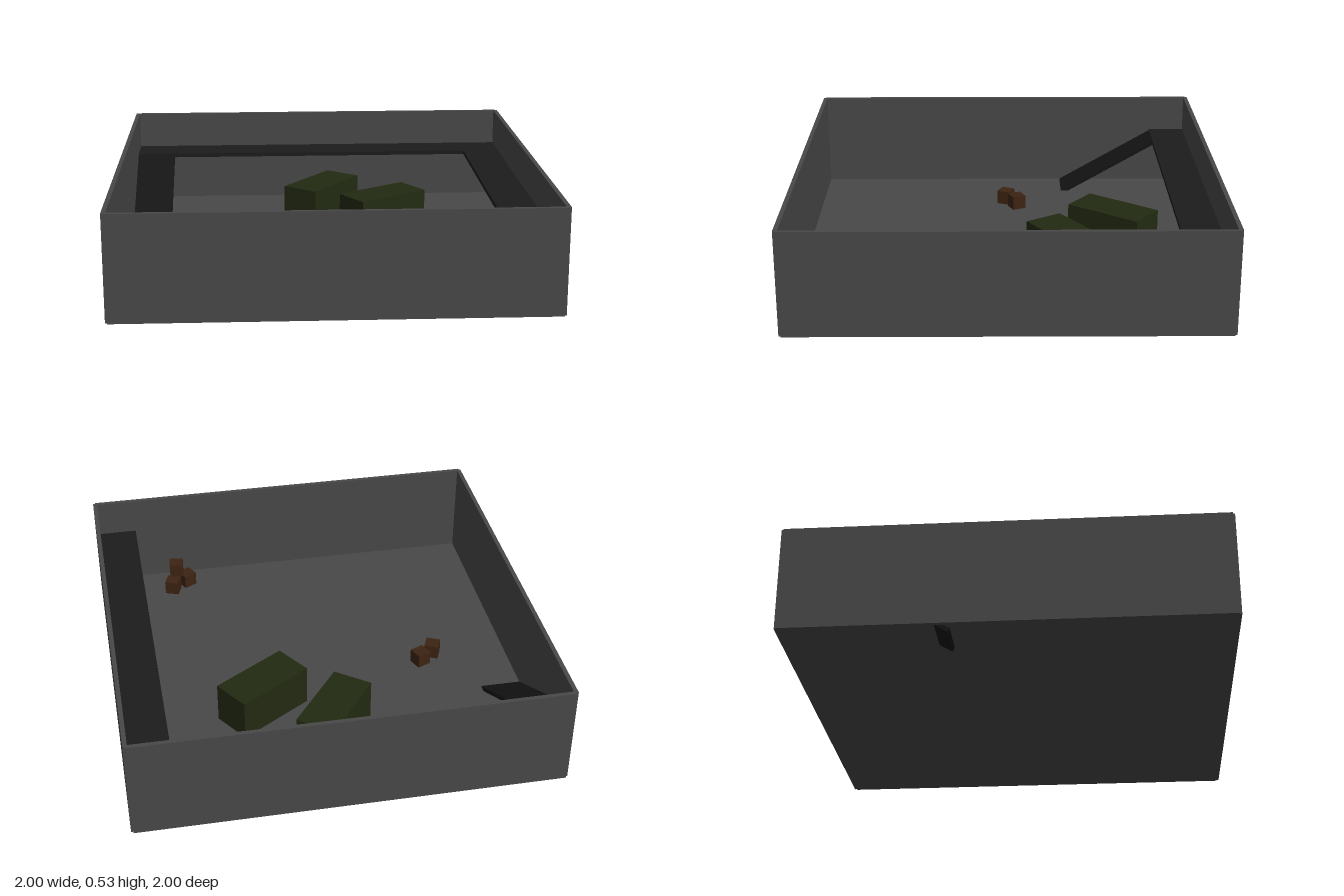
import * as THREE from 'three';

const mat = (color) => new THREE.MeshStandardMaterial({ color });

export function createModel() {
  const root = new THREE.Group();
  root.name = 'arena';
  const wallMat = mat(0x484848), ledgeMat = mat(0x1c1c1c), rampMat = mat(0x151515);
  const greenMat = mat(0x222a12), crateMat = mat(0x3d2412);

  const box = (name, material, [w, h, d], [x, y, z], turn = 0) => {
    const m = new THREE.Mesh(new THREE.BoxGeometry(w, h, d), material);
    m.name = name;
    m.position.set(x, y, z);
    m.rotation.y = turn;
    root.add(m);
    return m;
  };

  // Floor slab and four thin walls, with small notches at the outer corners
  const base = 0.033, top = 0.525, floorTop = 0.053, t = 0.02;
  box('floor', wallMat, [1.98, floorTop - base, 1.98], [0, (base + floorTop) / 2, 0]);
  for (const s of [-1, 1]) {
    const y = (base + top) / 2, h = top - base;
    box(s > 0 ? 'frontWall' : 'backWall', wallMat, [1.98, h, t], [0, y, s * 0.99]);
    box(s > 0 ? 'leftWall' : 'rightWall', wallMat, [t, h, 1.98], [s * 0.99, y, 0]);
  }

  // Raised walkway along the back and left walls
  const ledgeTop = 0.343;
  box('backLedge', ledgeMat, [1.96, t, 0.185], [0, ledgeTop - t / 2, -0.8875]);
  box('leftLedge', ledgeMat, [0.19, t, 1.775], [0.885, ledgeTop - t / 2, 0.0925]);

  // Ramp from the walkway down through the floor
  const slope = Math.PI / 6, length = 0.645;
  const ramp = box('ramp', rampMat, [0.195, t, length], [
    -0.8825,
    0.017 + (length / 2) * Math.sin(slope) - (t / 2) * Math.cos(slope),
    -0.24 - (length / 2) * Math.cos(slope) - (t / 2) * Math.sin(slope),
  ]);
  ramp.rotation.x = slope;

  // Large cover blocks
  for (const [x, z, turn] of [[0, -0.525, 0.927], [0.302, -0.286, 0.577]]) {
    box('coverBlock', greenMat, [0.4, 0.2, 0.195], [x, floorTop + 0.1, z], turn);
  }

  // Small crates: x, z, turn, stacking level
  const c = 0.07;
  const crates = [
    [-0.61, 0, -0.42, 0], [-0.535, -0.056, 0.42, 0],
    [0.62, 0.805, -0.35, 0], [0.54, 0.86, 0.5, 0], [0.593, 0.863, -0.1, 1],
  ];
  for (const [x, z, turn, level] of crates) {
    box('crate', crateMat, [c, c, c], [x, floorTop + c * (level + 0.5), z], turn);
  }
  return root;
}
